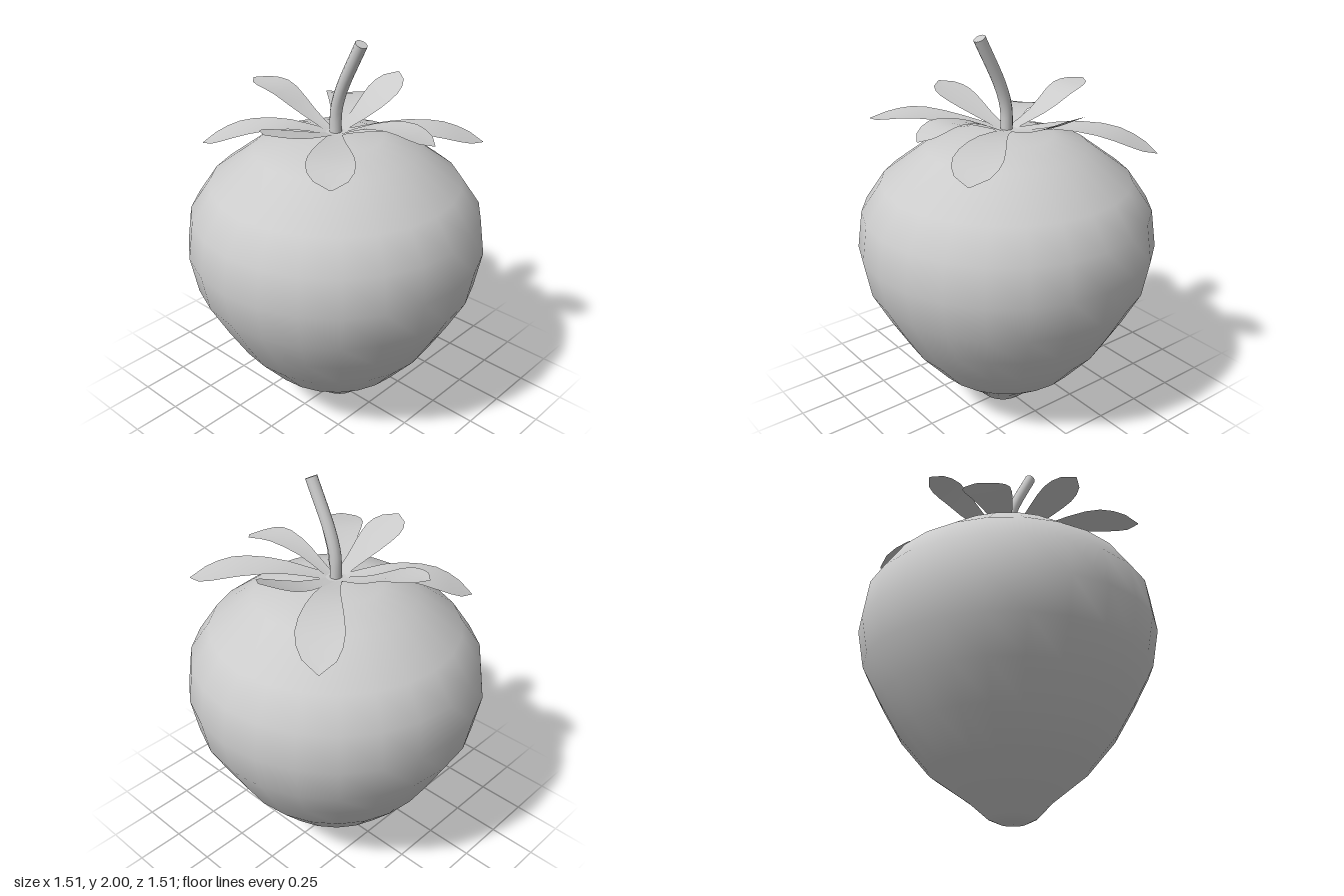
import * as THREE from 'three';

const material = new THREE.MeshStandardMaterial({ color: 0xcccccc });
const leafMaterial = new THREE.MeshStandardMaterial({ color: 0xcccccc, side: THREE.DoubleSide });

function addMesh(parent, name, geometry, mat = material) {
  const mesh = new THREE.Mesh(geometry, mat);
  mesh.name = name;
  parent.add(mesh);
  return mesh;
}

// Plump fruit: lathe profile, with the lower tip pushed slightly sideways
function fruitGeometry() {
  const profile = [
    [0, 0], [0.065, 0.005], [0.12, 0.03], [0.2, 0.105], [0.385, 0.24], [0.53, 0.41],
    [0.63, 0.58], [0.72, 0.75], [0.755, 0.94], [0.728, 1.13], [0.625, 1.28],
    [0.405, 1.445], [0.23, 1.5], [0, 1.515],
  ].map(([r, y]) => new THREE.Vector2(r, y));
  const geometry = new THREE.LatheGeometry(profile, 24);
  const pos = geometry.attributes.position;
  for (let i = 0; i < pos.count; i++) {
    const low = Math.max(0, 1 - pos.getY(i) / 0.25);
    pos.setX(i, pos.getX(i) + 0.03 * low);
  }
  return geometry;
}

// Half-widths of a leaf at stations along its length
const stations = [
  [0, 0.03], [0.15, 0.042], [0.3, 0.058], [0.45, 0.077], [0.6, 0.093],
  [0.72, 0.1], [0.82, 0.092], [0.91, 0.068], [1, 0.004],
];

// Curved leaf: cross-sections of three points swept along a rising spine
function leafGeometry({ tip, heights, width, bend = 0 }) {
  const length = Math.hypot(tip[0], tip[1]);
  const dx = tip[0] / length, dz = tip[1] / length;
  const spine = new THREE.CatmullRomCurve3(heights.map((y, i) => {
    const t = i / (heights.length - 1);
    const r = THREE.MathUtils.lerp(0.04, length, t);
    const side = bend * Math.sin(Math.PI * t);
    return new THREE.Vector3(dx * r - dz * side, y, dz * r + dx * side);
  }));
  const positions = [], index = [];
  stations.forEach(([t, half], row) => {
    const p = spine.getPoint(t);
    for (const s of [-1, 0, 1]) {
      const w = s * half * width;
      positions.push(p.x - dz * w, p.y + (s ? 0.06 * half : 0), p.z + dx * w);
    }
    if (row === 0) return;
    for (let k = 0; k < 2; k++) {
      const a = (row - 1) * 3 + k, b = row * 3 + k;
      index.push(a, a + 1, b, a + 1, b + 1, b);
    }
  });
  // Corner order is flipped so the upper side is the front
  for (let i = 0; i < index.length; i += 3) {
    [index[i + 1], index[i + 2]] = [index[i + 2], index[i + 1]];
  }
  const geometry = new THREE.BufferGeometry();
  geometry.setAttribute('position', new THREE.Float32BufferAttribute(positions, 3));
  geometry.setIndex(index);
  geometry.computeVertexNormals();
  return geometry;
}

// Tip in plan (x, z) and spine heights from base to tip
const leaves = [
  { tip: [-0.03, -0.51], heights: [1.525, 1.56, 1.62, 1.7], width: 0.92 },
  { tip: [0.55, -0.45], heights: [1.525, 1.56, 1.55, 1.49], width: 1.15, bend: 0.01 },
  { tip: [0.55, -0.06], heights: [1.525, 1.6, 1.63, 1.585], width: 0.85, bend: 0.01 },
  { tip: [0.46, 0.525], heights: [1.525, 1.56, 1.575, 1.54], width: 1.1, bend: 0.01 },
  { tip: [0.05, 0.51], heights: [1.525, 1.57, 1.62, 1.67], width: 1 },
  { tip: [-0.5, 0.42], heights: [1.525, 1.56, 1.535, 1.455], width: 1.15, bend: -0.01 },
  { tip: [-0.53, 0.04], heights: [1.525, 1.585, 1.665, 1.69], width: 0.9, bend: 0.02 },
  { tip: [-0.455, -0.575], heights: [1.525, 1.565, 1.55, 1.46], width: 1.1, bend: 0.02 },
];

// Bent stalk with closed ends
function addStem(parent) {
  const stem = new THREE.Group();
  stem.name = 'stem';
  const path = new THREE.CatmullRomCurve3([
    new THREE.Vector3(0, 1.5, 0), new THREE.Vector3(0.003, 1.63, 0),
    new THREE.Vector3(0.035, 1.74, 0), new THREE.Vector3(0.157, 1.985, 0),
  ]);
  addMesh(stem, 'stalk', new THREE.TubeGeometry(path, 12, 0.03, 12));
  for (const t of [0, 1]) {
    const cap = addMesh(stem, 'stalkEnd', new THREE.CircleGeometry(0.03, 12));
    const dir = path.getTangent(t).multiplyScalar(t ? 1 : -1);
    cap.position.copy(path.getPoint(t));
    cap.quaternion.setFromUnitVectors(new THREE.Vector3(0, 0, 1), dir);
  }
  parent.add(stem);
}

export function createModel() {
  const model = new THREE.Group();
  model.name = 'strawberry';
  addMesh(model, 'fruit', fruitGeometry());

  const calyx = new THREE.Group();
  calyx.name = 'calyx';
  leaves.forEach((leaf) => addMesh(calyx, 'leaf', leafGeometry(leaf), leafMaterial));
  const hub = addMesh(calyx, 'calyxHub', new THREE.CircleGeometry(0.065, 16), leafMaterial);
  hub.rotation.x = -Math.PI / 2;
  hub.position.y = 1.527;
  model.add(calyx);

  addStem(model);
  return model;
}
